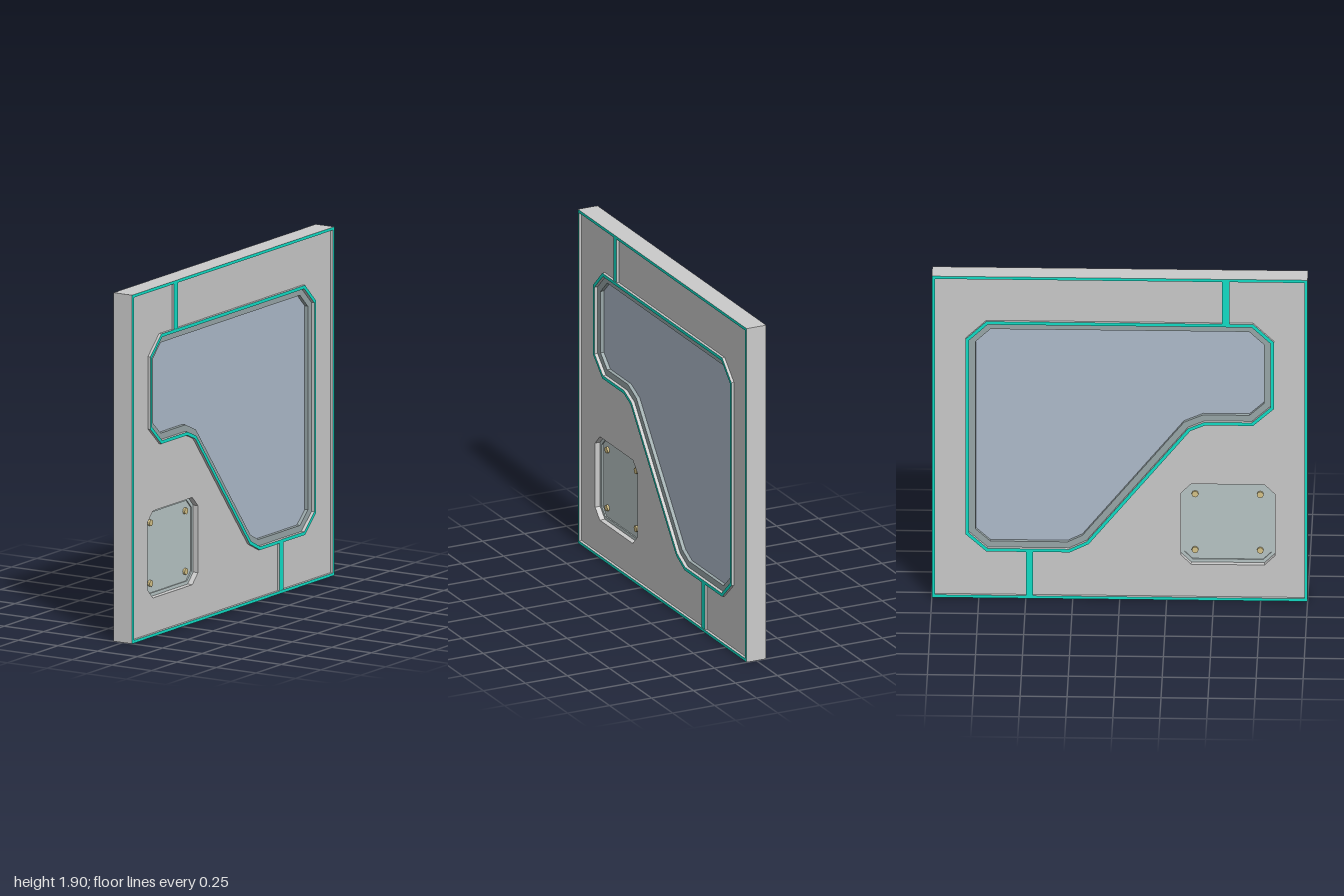
import * as THREE from 'three';

const grey = new THREE.MeshStandardMaterial({ color: 0xcccccc });
const paint = (color) => new THREE.MeshStandardMaterial({ color });
const teal = paint(0x10e0c8);
const frameGrey = paint(0x9aa8aa);
const glassBlue = paint(0xb0bdcd);
const hatchGrey = paint(0xbac7c7);
const brass = paint(0xd9c68a);

// Outlines are lists of [z, y] points
const rect = (z0, y0, z1, y1) => [[z0, y0], [z1, y0], [z1, y1], [z0, y1]];
const octagon = (z0, y0, z1, y1, c) => [
  [z0 + c, y0], [z1 - c, y0], [z1, y0 + c], [z1, y1 - c],
  [z1 - c, y1], [z0 + c, y1], [z0, y1 - c], [z0, y0 + c],
];

// Moves every edge of a counter-clockwise outline inwards by d
function inset(pts, d) {
  const n = pts.length;
  return pts.map((p, i) => {
    const a = pts[(i + n - 1) % n], b = pts[(i + 1) % n];
    const u = new THREE.Vector2(p[0] - a[0], p[1] - a[1]).normalize();
    const v = new THREE.Vector2(b[0] - p[0], b[1] - p[1]).normalize();
    const k = d / (1 + u.dot(v));
    return [p[0] - (u.y + v.y) * k, p[1] + (u.x + v.x) * k];
  });
}

// Slab through the door, reaching x = -half to +half; separate cap and wall materials
function slab(name, outline, holes, half, cap, wall = cap) {
  const toVec = (pts) => pts.map(([z, y]) => new THREE.Vector2(z, y));
  const shape = new THREE.Shape(toVec(outline));
  holes.forEach((h) => shape.holes.push(new THREE.Path(toVec(h))));
  const geo = new THREE.ExtrudeGeometry(shape, { depth: 2 * half, bevelEnabled: false });
  geo.translate(0, 0, -half).rotateY(-Math.PI / 2);
  const mesh = new THREE.Mesh(geo, [cap, wall]);
  mesh.name = name;
  return mesh;
}

export function createModel() {
  const model = new THREE.Group();
  model.name = 'windowedPanel';

  const border = rect(-1, 0, 1, 1.9);
  const borderInner = inset(border, 0.016);
  const windowOuter = [
    [0.82, 1.135], [0.82, 1.53], [0.71, 1.635], [-0.71, 1.635], [-0.82, 1.53], [-0.82, 0.375],
    [-0.71, 0.275], [-0.265, 0.275], [-0.165, 0.325], [0.375, 1.0], [0.455, 1.035], [0.71, 1.035],
  ];
  const windowTrim = inset(windowOuter, 0.018);
  const windowInner = inset(windowOuter, 0.053);
  const hatchOuter = octagon(0.325, 0.205, 0.825, 0.68, 0.055);
  const hatchInner = inset(hatchOuter, 0.018);

  // Wall plate and raised border
  model.add(slab('wallPlate', borderInner, [windowOuter, hatchOuter], 0.043, grey));
  model.add(slab('borderTrim', border, [borderInner], 0.0585, teal, grey));

  // Window: raised trim, stepped frame, glass
  model.add(slab('windowTrim', windowOuter, [windowTrim], 0.0585, teal, grey));
  model.add(slab('windowFrame', windowTrim, [windowInner], 0.04, frameGrey));
  model.add(slab('windowGlass', windowInner, [], 0.02, glassBlue));

  // Strips joining the window trim to the border
  model.add(slab('upperStrip', rect(0.545, 1.635, 0.583, 1.884), [], 0.056, teal, grey));
  model.add(slab('lowerStrip', rect(-0.5, 0.016, -0.462, 0.275), [], 0.056, teal, grey));

  // Recessed hatch with a bolt in each corner on both sides
  model.add(slab('hatchFrame', hatchOuter, [hatchInner], 0.013, hatchGrey));
  model.add(slab('hatchPlate', hatchInner, [], 0.006, hatchGrey));
  const boltGeo = new THREE.CylinderGeometry(0.018, 0.018, 0.036, 8).rotateZ(Math.PI / 2);
  for (const z of [0.4, 0.747]) {
    for (const y of [0.277, 0.607]) {
      const bolt = new THREE.Mesh(boltGeo, brass);
      bolt.name = 'hatchBolt';
      bolt.position.set(0, y, z);
      model.add(bolt);
    }
  }
  return model;
}
